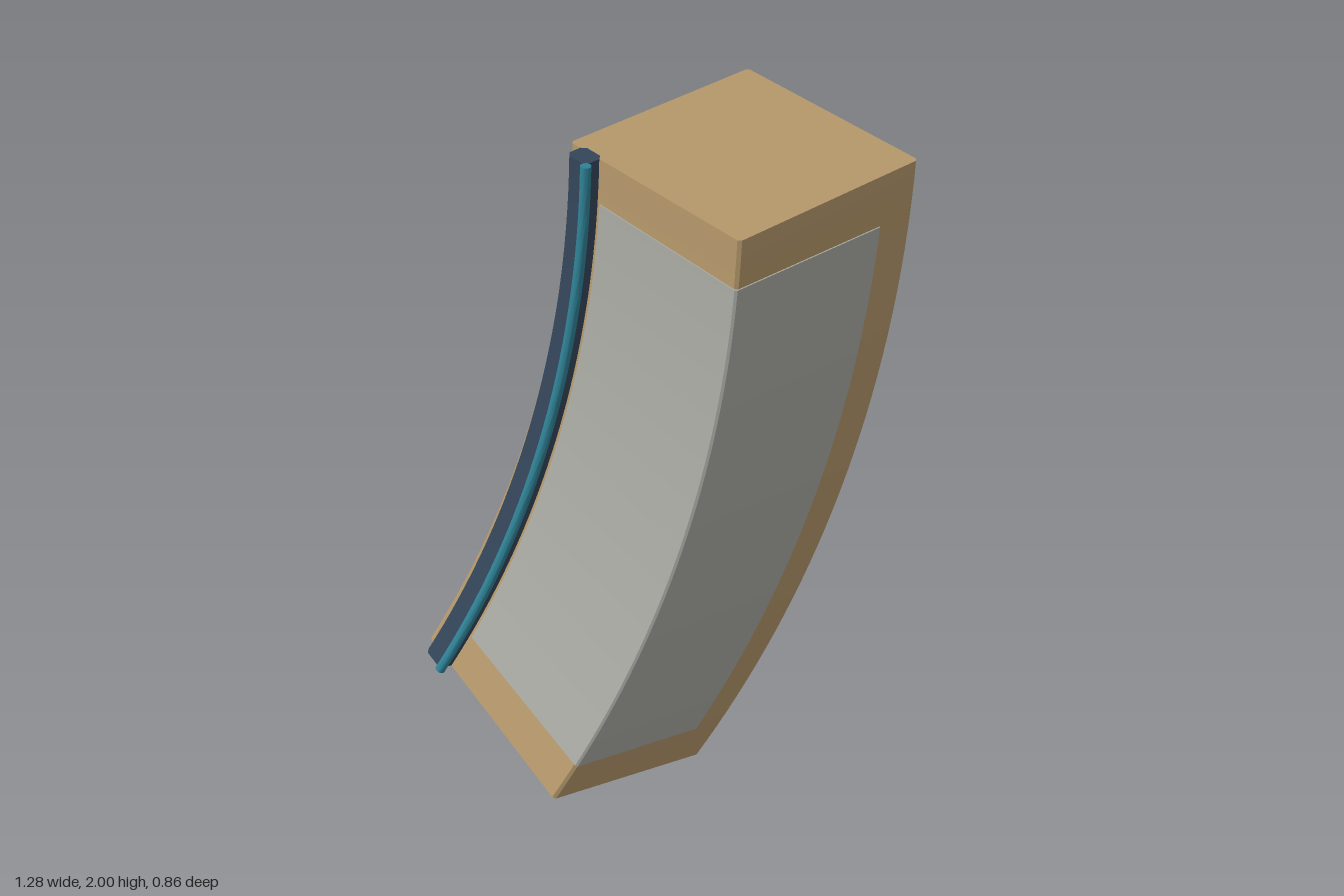
import * as THREE from 'three';
import { mergeGeometries, toCreasedNormals } from 'three/addons/utils/BufferGeometryUtils.js';

// Centre of the arc in the xy plane; every part is swept around it
const CX = -3.846, CY = 2.109;
const TOP = THREE.MathUtils.degToRad(1.72);
const BOTTOM = THREE.MathUtils.degToRad(28.07);
const MID = 4.058, HALF = 0.43;

// Sweep a closed counter-clockwise profile of [radius, z] along the arc, with end caps
function sweep(profile, top, bottom) {
  const pts = profile.map(([r, z]) => new THREE.Vector2(r, z));
  const wall = new THREE.LatheGeometry([...pts, pts[0].clone()], 32, Math.PI / 2 - bottom, bottom - top);
  wall.rotateX(Math.PI / 2);
  const low = new THREE.ShapeGeometry(new THREE.Shape(pts));
  low.rotateX(Math.PI / 2).rotateZ(-bottom);
  const flipped = pts.map((p) => new THREE.Vector2(p.x, -p.y)).reverse();
  const high = new THREE.ShapeGeometry(new THREE.Shape(flipped));
  high.rotateX(-Math.PI / 2).rotateZ(-top);
  const all = mergeGeometries([wall, low, high].map((g) => g.toNonIndexed()));
  return toCreasedNormals(all, 0.4).translate(CX, CY, 0);
}

// Cut each corner of a closed profile by a small distance
function chamfer(points, d) {
  const out = [];
  points.forEach((p, i) => {
    const n = points.length;
    for (const q of [points[(i + n - 1) % n], points[(i + 1) % n]]) {
      const len = Math.hypot(q[0] - p[0], q[1] - p[1]);
      out.push([p[0] + (q[0] - p[0]) * d / len, p[1] + (q[1] - p[1]) * d / len]);
    }
  });
  return out;
}

export function createModel() {
  const group = new THREE.Group();
  const material = (name, color) => new THREE.MeshStandardMaterial({ name, color });
  const tan = material('tan', 0xb5986b);
  const grey = material('grey', 0xa9aaa3);
  const navy = material('navy', 0x34465a);
  const teal = material('teal', 0x2f8296);

  const add = (name, profile, mat, top = TOP, bottom = BOTTOM) => {
    const mesh = new THREE.Mesh(sweep(profile, top, bottom), mat);
    mesh.name = name;
    group.add(mesh);
  };

  // Curved diamond-section body
  const diamond = [[MID + HALF, 0], [MID, HALF], [MID - HALF, 0], [MID, -HALF]];
  add('body', chamfer(diamond, 0.008), tan);

  // Thin panel wrapping the two front faces
  const w = 0.348, edge = HALF - w, lift = 0.005, sink = -0.004;
  add('frontPanel', [
    [MID + w, edge + lift], [MID + 0.004, HALF + lift - 0.004], [MID - 0.004, HALF + lift - 0.004],
    [MID - w, edge + lift], [MID - w, edge + sink], [MID, HALF + sink], [MID + w, edge + sink],
  ], grey, THREE.MathUtils.degToRad(3.63), THREE.MathUtils.degToRad(26.1));

  // Chamfered rail lying on the inner front face
  const k = Math.SQRT1_2, rail = [[1, 1], [-1, 1], [-1, -1], [1, -1]].map(([u, v]) => {
    const a = u * 0.036, b = v * 0.029;
    return [3.668 + (a - b) * k, 0.063 + (a + b) * k];
  });
  add('rail', chamfer(rail, 0.012), navy);

  // Round strip along the front of the rail
  const strip = Array.from({ length: 16 }, (_, i) => {
    const t = i * Math.PI / 8;
    return [3.674 + 0.014 * Math.cos(t), 0.113 + 0.014 * Math.sin(t)];
  });
  add('lightStrip', strip, teal);

  return group;
}
